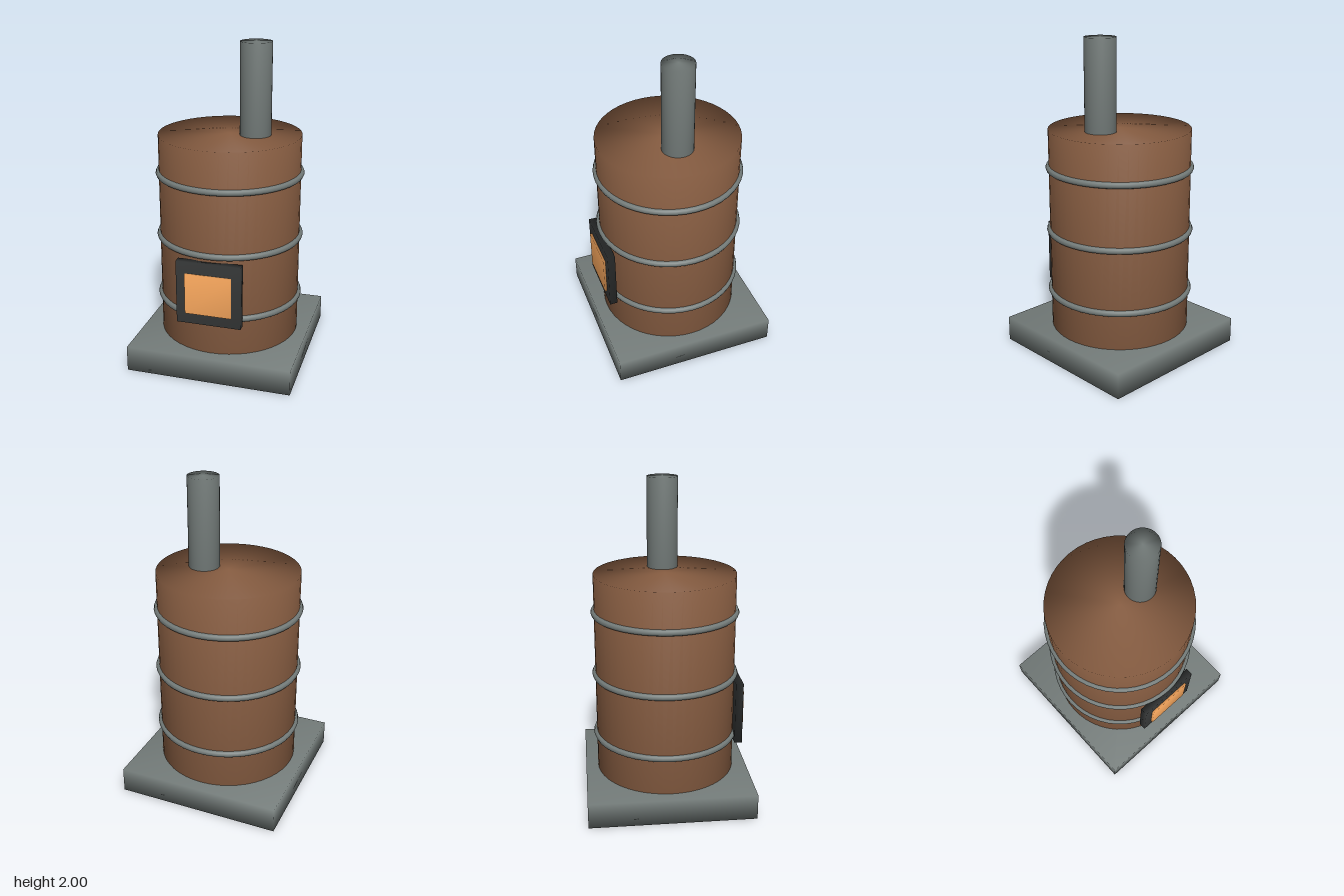
import * as THREE from 'three';
import { mergeVertices } from 'three/addons/utils/BufferGeometryUtils.js';

const mat = (color) => new THREE.MeshStandardMaterial({ color });

// Weld shared corners so the shading runs softly across every edge
function soften(geometry) {
  geometry.deleteAttribute('normal');
  geometry.deleteAttribute('uv');
  const welded = mergeVertices(geometry, 1e-4);
  welded.computeVertexNormals();
  return welded;
}

export function createModel() {
  const group = new THREE.Group();
  const iron = mat(0x747c7a);
  const rust = mat(0x8a5f43);
  const darkIron = mat(0x363838);
  const glow = mat(0xffac60);

  const add = (name, geometry, material, x, y, z) => {
    const mesh = new THREE.Mesh(soften(geometry), material);
    mesh.name = name;
    mesh.position.set(x, y, z);
    group.add(mesh);
    return mesh;
  };

  // Square plinth and the barrel standing on it
  add('base', new THREE.BoxGeometry(1.036, 0.16, 1.036), iron, 0, 0.08, 0);
  add('barrel', new THREE.CylinderGeometry(0.44, 0.44, 1.28, 48), rust, 0, 0.8, 0);

  // Hoops around the barrel
  for (const y of [0.4, 0.8, 1.2]) {
    const hoop = new THREE.TorusGeometry(0.44, 0.02, 8, 48).rotateX(Math.PI / 2);
    add('hoop', hoop, iron, 0, y, 0);
  }

  // Offset chimney on the lid
  add('chimney', new THREE.CylinderGeometry(0.096, 0.096, 0.56, 32), iron, 0.16, 1.72, 0);

  // Fire door with its glowing window
  add('doorFrame', new THREE.BoxGeometry(0.4, 0.4, 0.048), darkIron, 0, 0.564, 0.447);
  add('fireWindow', new THREE.BoxGeometry(0.286, 0.256, 0.03), glow, 0, 0.562, 0.47);

  return group;
}
